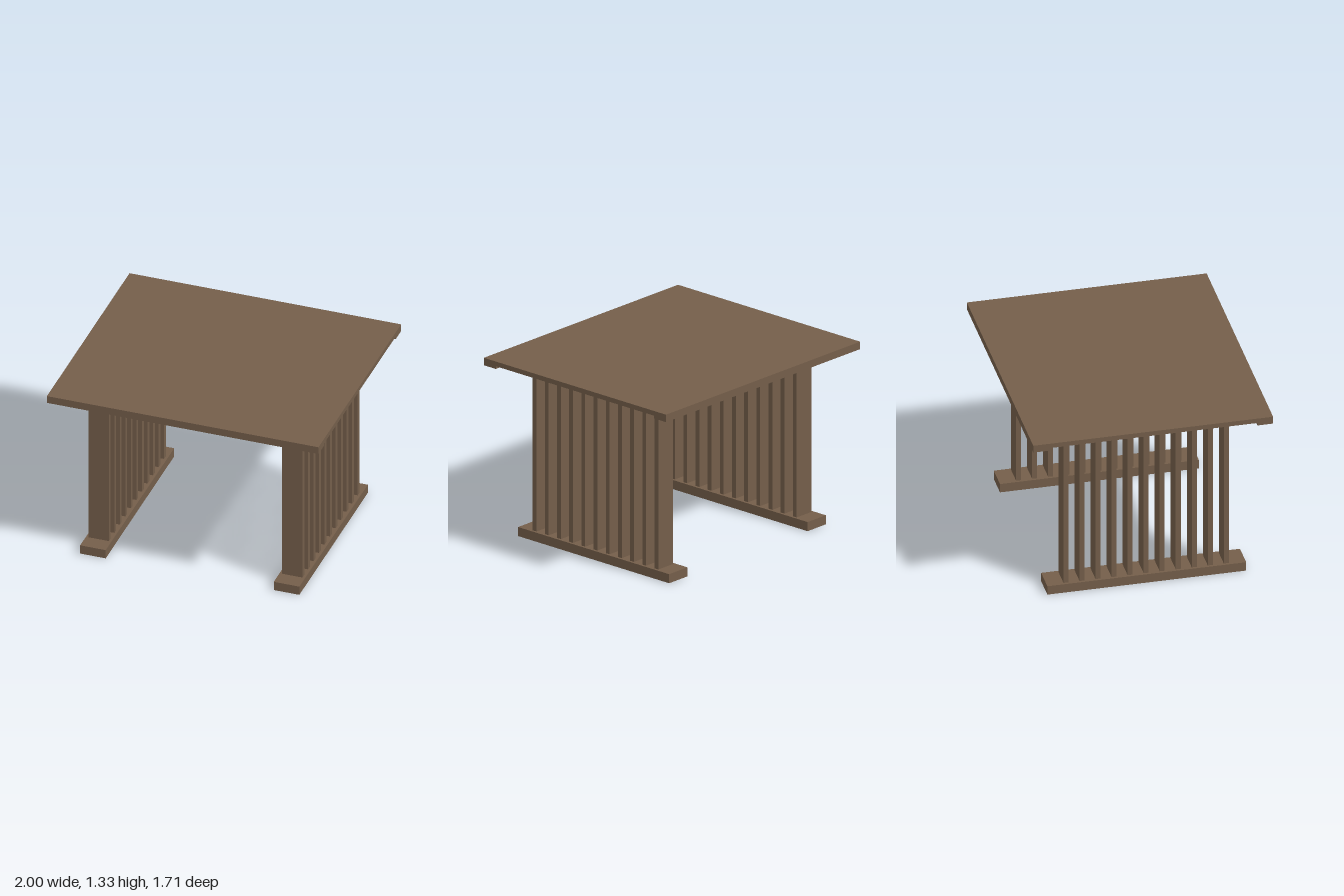
import * as THREE from 'three';

export function createModel() {
  const model = new THREE.Group();
  model.name = 'slattedTable';
  const wood = new THREE.MeshStandardMaterial({ color: 0x745e4a });
  wood.name = 'brownWood';

  // Box given by its centre in x and z and its bottom and top heights
  const addBox = (parent, name, width, depth, bottom, top, x = 0, z = 0) => {
    const mesh = new THREE.Mesh(new THREE.BoxGeometry(width, top - bottom, depth), wood);
    mesh.name = name;
    mesh.position.set(x, (bottom + top) / 2, z);
    parent.add(mesh);
  };

  // Table top with a thicker batten under the front and back edges
  addBox(model, 'tableTop', 2, 1.71, 1.298, 1.333);
  for (const side of [1, -1]) {
    addBox(model, side > 0 ? 'frontBatten' : 'backBatten', 2, 0.112, 1.278, 1.298, 0, side * 0.799);
  }

  // Two leg frames: foot rail, top rail and a row of slats between
  for (const side of [1, -1]) {
    const leg = new THREE.Group();
    leg.name = side > 0 ? 'leftLegFrame' : 'rightLegFrame';
    leg.position.x = side * 0.713;
    addBox(leg, 'footRail', 0.188, 1.418, 0, 0.067);
    addBox(leg, 'topRail', 0.188, 1.418, 1.241, 1.298);
    for (let i = -5; i <= 5; i++) {
      addBox(leg, 'slat', 0.15, 0.036, 0.067, 1.241, 0, i * 0.1143);
    }
    model.add(leg);
  }
  return model;
}
